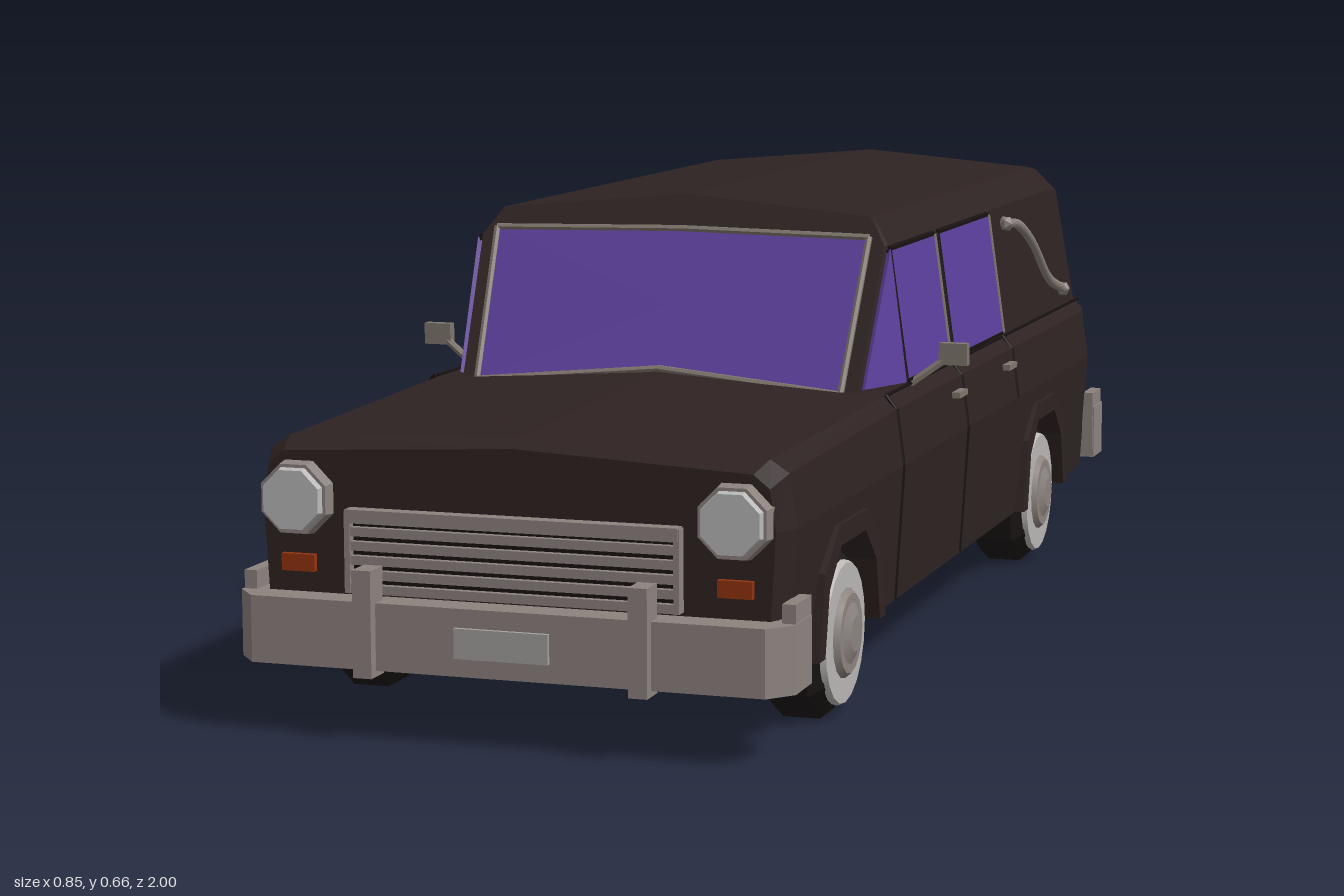
import * as THREE from 'three';

const mat = (name, color) => Object.assign(new THREE.MeshStandardMaterial({ color }), { name });
const V = (x, y, z) => new THREE.Vector3(x, y, z);

export function createModel() {
  const car = new THREE.Group();
  car.name = 'hearse';
  const paint = mat('darkBrownPaint', 0x2e2322), seamMat = mat('seamBlack', 0x171211);
  const glass = mat('purpleGlass', 0x5d3f9c), chrome = mat('chrome', 0x8c837f);
  const trim = mat('windowTrim', 0x80776f), rubber = mat('rubber', 0x1c1716);
  const white = mat('whitewall', 0xb9b6b4), lens = mat('headlightLens', 0xbababa);
  const amber = mat('lampOrange', 0x93330f), plateMat = mat('plateGrey', 0xa5a2a0);

  const add = (name, geo, material, x = 0, y = 0, z = 0) => {
    const m = new THREE.Mesh(geo, material);
    m.name = name;
    m.position.set(x, y, z);
    car.add(m);
    return m;
  };
  const flat = (g) => {
    const n = g.index ? g.toNonIndexed() : g;
    n.computeVertexNormals();
    return n;
  };
  const box = (name, w, h, d, material, x, y, z) => add(name, new THREE.BoxGeometry(w, h, d), material, x, y, z);

  // Closed solid through a row of rings, faces turned outward
  const loft = (rings) => {
    const tris = [], n = rings[0].length;
    for (let i = 0; i < rings.length - 1; i++) for (let j = 0; j < n; j++) {
      const k = (j + 1) % n, a = rings[i][j], b = rings[i][k], c = rings[i + 1][k], d = rings[i + 1][j];
      tris.push([a, b, c], [a, c, d]);
    }
    for (const [ring, flip] of [[rings[0], true], [rings[rings.length - 1], false]]) {
      const mid = ring.reduce((s, p) => s.add(p), V(0, 0, 0)).divideScalar(n);
      ring.forEach((p, j) => {
        const q = ring[(j + 1) % n];
        tris.push(flip ? [mid, q, p] : [mid, p, q]);
      });
    }
    const origin = rings[0][0];
    const volume = tris.reduce((s, [a, b, c]) => s + a.clone().sub(origin).dot(b.clone().sub(origin).cross(c.clone().sub(origin))), 0);
    const pts = tris.flatMap(([a, b, c]) => (volume < 0 ? [a, c, b] : [a, b, c]));
    return flat(new THREE.BufferGeometry().setFromPoints(pts));
  };
  // Half section [x, y, z] from the outer bottom to the centre top, mirrored into a ring
  const ring = (half) => [...half.map((p) => V(...p)), ...half.slice(0, -1).reverse().map(([x, y, z]) => V(-x, y, z))];
  const at = (z, half) => ring(half.map(([x, y]) => [x, y, z]));
  // Thin plate on a flat outline
  const plate = (name, pts, material, t = 0.004) => {
    const n = pts[1].clone().sub(pts[0]).cross(pts[2].clone().sub(pts[0])).normalize().multiplyScalar(t);
    return add(name, loft([pts.map((p) => p.clone().sub(n)), pts.map((p) => p.clone().add(n))]), material);
  };
  const bar = (name, a, b, r, material) => {
    const d = b.clone().sub(a), m = add(name, flat(new THREE.CylinderGeometry(r, r, d.length(), 6)), material);
    m.position.copy(a).addScaledVector(d, 0.5);
    m.quaternion.setFromUnitVectors(V(0, 1, 0), d.normalize());
    return m;
  };
  const outline = (name, pts, r, material) => pts.forEach((p, i) => bar(name, p, pts[(i + 1) % pts.length], r, material));

  // Lower body: side profile with wheel arches, widened with height
  const axles = [-0.53, 0.655];
  const side = new THREE.Shape();
  side.moveTo(-0.88, 0.11);
  for (const a of axles)
    for (const [dz, y] of [[-0.135, 0.11], [-0.115, 0.2], [-0.06, 0.25], [0.06, 0.25], [0.115, 0.2], [0.135, 0.11]]) side.lineTo(a + dz, y);
  side.lineTo(0.9, 0.11);
  side.lineTo(0.9, 0.305);
  side.lineTo(-0.88, 0.305);
  const lower = new THREE.ExtrudeGeometry(side, { depth: 1, bevelEnabled: false });
  lower.translate(0, 0, -0.5).rotateY(-Math.PI / 2);
  const pos = lower.attributes.position;
  for (let i = 0; i < pos.count; i++) pos.setX(i, Math.sign(pos.getX(i)) * (0.36 + (pos.getY(i) - 0.11) * 0.0615));
  add('lowerBody', flat(lower), paint);
  box('floorCore', 0.5, 0.18, 1.7, paint, 0, 0.202, 0);
  const sill = [[0.36, 0.11], [0.372, 0.305], [0, 0.305]];
  add('nose', loft([at(0.9, sill), at(0.94, [[0.345, 0.125], [0.355, 0.305], [0, 0.305]])]), paint);
  add('tail', loft([at(-0.88, sill), at(-0.93, [[0.347, 0.12], [0.358, 0.305], [0, 0.305]])]), paint);

  // Shoulders and bonnet
  add('upperBody', loft([
    at(0.94, [[0.355, 0.305], [0.347, 0.36], [0.325, 0.378], [0, 0.395]]),
    at(0.9, [[0.372, 0.305], [0.361, 0.375], [0.335, 0.392], [0, 0.406]]),
    at(0.37, [[0.372, 0.305], [0.361, 0.385], [0.342, 0.402], [0, 0.422]]),
    at(-0.88, [[0.372, 0.305], [0.361, 0.385], [0.345, 0.402], [0, 0.41]]),
    at(-0.93, [[0.358, 0.305], [0.35, 0.385], [0.335, 0.402], [0, 0.41]]),
  ]), paint);

  // Cabin and roof
  const screenZ = (y) => 0.375 - (y - 0.4) * 0.52;
  const cabin = [[0.345, 0.395], [0.315, 0.605], [0.285, 0.645], [0, 0.67]];
  add('cabin', loft([
    ring([[0.302, 0.395], [0.311, 0.605], [0.284, 0.645], [0, 0.67]].map(([x, y]) => [x, y, screenZ(y)])),
    ring([[0.345, 0.395, 0.265], [0.315, 0.605, 0.26], [0.285, 0.645, 0.235], [0, 0.67, 0.22]]),
    at(-0.78, cabin),
    at(-0.88, [[0.343, 0.395], [0.31, 0.598], [0.275, 0.633], [0, 0.656]]),
    at(-0.93, [[0.335, 0.395], [0.3, 0.59], [0.262, 0.615], [0, 0.635]]),
  ]), paint);

  // Windscreen
  const screen = [[-0.278, 0.4], [0, 0.425], [0.278, 0.4], [0.288, 0.615], [0, 0.62], [-0.288, 0.615]].map(([x, y]) => V(x, y, screenZ(y)));
  plate('windscreen', screen, glass);
  outline('windscreenFrame', screen.map((p) => p.clone().add(V(0, 0.002, 0.004))), 0.005, trim);

  // Tailgate window, plate and handle
  const rear = [[-0.24, 0.445], [0.24, 0.445], [0.225, 0.55], [-0.225, 0.55]].map(([x, y]) => V(x, y, -0.931));
  plate('rearWindow', rear, glass);
  outline('rearWindowFrame', rear, 0.005, seamMat);
  box('tailgateHandle', 0.055, 0.012, 0.014, trim, -0.2, 0.385, -0.937);
  outline('tailgateSeam', [V(-0.28, 0.23, -0.93), V(0.28, 0.23, -0.93), V(0.275, 0.4, -0.93), V(-0.275, 0.4, -0.93)], 0.0025, seamMat);

  for (const s of [1, -1]) {
    // Side windows
    const wall = (z, y, out = 0) => V(s * (0.345 - (y - 0.395) * 0.143 + out), y, z);
    for (const [z0, z1] of [[0.262, 0.012], [-0.015, -0.335]]) {
      const w = [wall(z0, 0.41), wall(z1, 0.41), wall(z1, 0.6), wall(z0, 0.6)];
      plate('sideWindow', w, glass);
      outline('sideWindowFrame', w, 0.005, seamMat);
      bar('windowEdge', wall(z1, 0.41, 0.003), wall(z1, 0.6, 0.003), 0.004, trim);
    }
    plate('quarterWindow', [V(s * 0.306, 0.408, 0.364), V(s * 0.343, 0.408, 0.27), V(s * 0.316, 0.6, 0.264)], glass, 0.0045);
    bar('beltSeam', wall(0.37, 0.403), wall(-0.92, 0.403), 0.003, seamMat);

    // Door seams and handles
    for (const z of [0.38, 0, -0.335]) {
      const line = [[0.36, 0.112], [0.372, 0.305], [0.361, 0.385], [0.345, 0.405]].map(([x, y]) => V(s * x, y, z));
      for (let i = z < -0.3 ? 1 : 0; i < 3; i++) bar('doorSeam', line[i], line[i + 1], 0.003, seamMat);
    }
    for (const z of [0.045, -0.285]) box('doorHandle', 0.018, 0.009, 0.05, trim, s * 0.367, 0.363, z);

    // Curved ornament bar on the rear quarter
    const curve = new THREE.CatmullRomCurve3([[-0.43, 0.578], [-0.51, 0.57], [-0.6, 0.53], [-0.68, 0.465], [-0.78, 0.435]].map(([z, y]) => wall(z, y, 0.008)));
    add('ornamentBar', new THREE.TubeGeometry(curve, 16, 0.008, 6), chrome);
    for (const t of [0, 1]) {
      const p = curve.getPoint(t);
      add('ornamentEnd', flat(new THREE.IcosahedronGeometry(0.013, 0)), chrome, p.x, p.y, p.z);
    }

    // Mirror
    bar('mirrorArm', V(s * 0.34, 0.4, 0.235), V(s * 0.392, 0.438, 0.222), 0.006, trim);
    box('mirror', 0.042, 0.032, 0.016, trim, s * 0.404, 0.446, 0.22);

    // Headlight, indicator and tail lamp
    for (const [name, r, d, z, m] of [['headlightRim', 0.054, 0.03, 0.945, chrome], ['headlightLens', 0.046, 0.012, 0.963, lens]]) {
      const g = new THREE.CylinderGeometry(r * 0.92, r, d, 8).rotateY(Math.PI / 8).rotateX(Math.PI / 2);
      add(name, flat(g), m, s * 0.303, 0.317, z);
    }
    box('indicator', 0.047, 0.023, 0.012, amber, s * 0.303, 0.23, 0.943);
    box('tailLamp', 0.03, 0.09, 0.03, amber, s * 0.328, 0.315, -0.93);

    // Wheels and arch lips
    for (const z of axles) {
      const profile = [[0, -0.045], [0.1, -0.045], [0.118, -0.026], [0.118, 0.026], [0.1, 0.045], [0, 0.045]].map((p) => new THREE.Vector2(...p));
      const wheel = new THREE.Group();
      wheel.name = 'wheel';
      const parts = [
        ['tyre', flat(new THREE.LatheGeometry(profile, 10)), rubber, 0],
        ['whitewall', new THREE.CylinderGeometry(0.096, 0.1, 0.008, 20), white, 0.047],
        ['hubcap', new THREE.CylinderGeometry(0.055, 0.064, 0.01, 16), chrome, 0.054],
        ['hubCentre', new THREE.CylinderGeometry(0.025, 0.045, 0.008, 12), chrome, 0.062],
      ];
      for (const [name, g, m, y] of parts) {
        const mesh = new THREE.Mesh(g, m);
        mesh.name = name;
        mesh.position.y = y;
        wheel.add(mesh);
      }
      wheel.rotation.z = -s * Math.PI / 2;
      wheel.position.set(s * 0.315, 0.119, z);
      car.add(wheel);
      const lip = new THREE.Shape([[-0.165, 0.112], [-0.135, 0.225], [-0.07, 0.278], [0.07, 0.278], [0.135, 0.225], [0.165, 0.112],
        [0.135, 0.112], [0.115, 0.2], [0.06, 0.25], [-0.06, 0.25], [-0.115, 0.2], [-0.135, 0.112]].map((p) => new THREE.Vector2(...p)));
      const lipGeo = new THREE.ExtrudeGeometry(lip, { depth: 0.02, bevelEnabled: false }).translate(0, 0, -0.01).rotateY(-Math.PI / 2);
      add('archLip', lipGeo, paint, s * 0.367, 0, z);
    }
  }

  // Grille
  box('grilleBack', 0.46, 0.11, 0.01, seamMat, 0, 0.25, 0.941);
  box('grilleTop', 0.46, 0.018, 0.026, chrome, 0, 0.298, 0.948);
  for (let i = 0; i < 5; i++) box('grilleSlat', 0.45, 0.012, 0.018, chrome, 0, 0.277 - i * 0.019, 0.947);
  for (const s of [1, -1]) box('grilleEnd', 0.008, 0.11, 0.022, chrome, s * 0.228, 0.25, 0.947);

  // Bumpers: wrapped bar, side tabs, upright guards and a plate
  for (const [s, y, top] of [[1, 0.1, 0.235], [-1, 0.125, 0.265]]) {
    const u = [[-0.385, 0.88], [-0.385, 0.95], [-0.355, 0.985], [0.355, 0.985], [0.385, 0.95], [0.385, 0.88], [0.36, 0.88], [0.355, 0.93], [-0.355, 0.93], [-0.36, 0.88]];
    const shape = new THREE.Shape(u.map(([x, z]) => new THREE.Vector2(x, -s * z)));
    add('bumper', new THREE.ExtrudeGeometry(shape, { depth: 0.09, bevelEnabled: false }).rotateX(-Math.PI / 2), chrome, 0, y, 0);
    for (const m of [1, -1]) {
      box('bumperTab', 0.018, 0.1, 0.07, chrome, m * 0.374, y + 0.065, s * 0.91);
      box('bumperGuard', 0.026, top - y + 0.008, 0.04, chrome, m * 0.19, (top + y - 0.008) / 2, s * 0.98);
    }
    box('numberPlate', 0.13, 0.04, 0.008, plateMat, 0, y + 0.045, s * 0.987);
  }
  return car;
}
